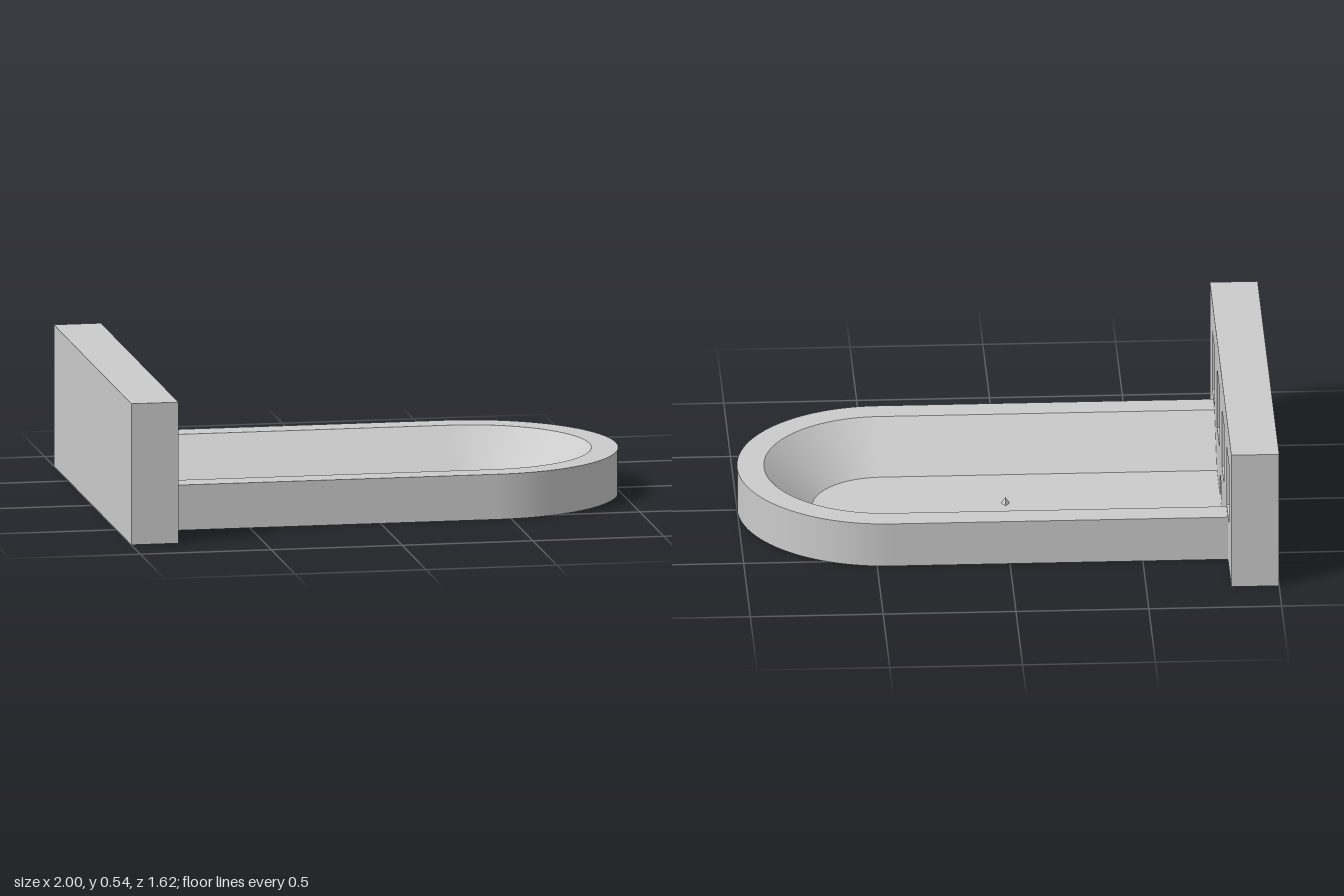
import * as THREE from 'three';

const WALL_X = -0.82, WALL_H = 0.54, WALL_Z = 0.81;  // headwall front plane, height, half length
const ARC_X = 0.447, FLOOR_Y = 0.004;                // centre of the rounded end, basin floor level
const SEGMENTS = 64;
const DOOR = { half: 0.047, top: 0.09, depth: 0.1 };
const WINDOW = { half: 0.09, bottom: 0.18, top: 0.42, depth: 0.015 };
const WINDOW_CENTRES = [-0.54, -0.18, 0.18, 0.54];

const solid = new THREE.MeshStandardMaterial({ color: 0xcccccc });
const thin = new THREE.MeshStandardMaterial({ color: 0xcccccc, side: THREE.DoubleSide });

function add(parent, name, geometry, material = solid) {
  const mesh = new THREE.Mesh(geometry, material);
  mesh.name = name;
  parent.add(mesh);
  return mesh;
}

// U-shaped path: straight side, half circle, straight side
function uPath(r) {
  const points = [[WALL_X, r, Math.PI / 2]];
  for (let i = 0; i <= SEGMENTS; i++) {
    const a = Math.PI / 2 - (Math.PI * i) / SEGMENTS;
    points.push([ARC_X + r * Math.cos(a), r * Math.sin(a), a]);
  }
  points.push([WALL_X, -r, -Math.PI / 2]);
  return points;
}

// Surface between two (radius, height) levels following the U path
function uStrip([r0, y0], [r1, y1]) {
  const positions = [], normals = [], index = [];
  const length = Math.hypot(r1 - r0, y1 - y0);
  const nr = (y1 - y0) / length, ny = (r0 - r1) / length;
  const lower = uPath(r0), upper = uPath(r1);
  lower.forEach(([x, z, a], i) => {
    positions.push(x, y0, z, upper[i][0], y1, upper[i][1]);
    for (let k = 0; k < 2; k++) normals.push(nr * Math.cos(a), ny, nr * Math.sin(a));
    if (i < lower.length - 1) {
      const b = i * 2;
      index.push(b, b + 2, b + 1, b + 1, b + 2, b + 3);
    }
  });
  const g = new THREE.BufferGeometry();
  g.setAttribute('position', new THREE.Float32BufferAttribute(positions, 3));
  g.setAttribute('normal', new THREE.Float32BufferAttribute(normals, 3));
  g.setIndex(index);
  return g;
}

// Box with some faces left out (0..5 = +x, -x, +y, -y, +z, -z)
function openBox(w, h, d, skipped) {
  const g = new THREE.BoxGeometry(w, h, d);
  const kept = Array.from(g.index.array).filter((_, i) => !skipped.includes(Math.floor(i / 6)));
  g.setIndex(kept);
  g.clearGroups();
  return g;
}

const polygon = (pts) => new THREE.Shape(pts.map(([x, y]) => new THREE.Vector2(x, y)));

function createBasin() {
  const basin = new THREE.Group();
  basin.name = 'basin';
  const profile = [[0.553, 0], [0.553, 0.173], [0.452, 0.173], [0.27, FLOOR_Y]];
  ['outerSide', 'rim', 'innerSlope'].forEach((name, i) =>
    add(basin, name, uStrip(profile[i], profile[i + 1])));

  const floor = new THREE.ShapeGeometry(polygon(uPath(0.27)));
  add(basin, 'floor', floor.rotateX(-Math.PI / 2).translate(0, FLOOR_Y, 0));

  // Tiny kite-shaped stud in the middle of the floor
  const stud = new THREE.ConeGeometry(0.016, 0.025, 4).toNonIndexed();
  stud.computeVertexNormals();
  const mesh = add(basin, 'floorStud', stud);
  mesh.scale.z = 1.6;
  mesh.position.set(-0.01, FLOOR_Y + 0.0125, 0.005);
  return basin;
}

function createHeadwall() {
  const wall = new THREE.Group();
  wall.name = 'headwall';
  const thickness = WALL_X + 1;

  // Sides, back and top
  const shell = add(wall, 'wallShell', openBox(thickness, WALL_H, WALL_Z * 2, [0, 3]));
  shell.position.set(-1 + thickness / 2, WALL_H / 2, 0);

  // Front face with window holes and a doorway notch
  const { half, top } = DOOR;
  const face = polygon([[-WALL_Z, 0], [-half, 0], [-half, top], [half, top], [half, 0],
    [WALL_Z, 0], [WALL_Z, WALL_H], [-WALL_Z, WALL_H]]);
  for (const c of WINDOW_CENTRES) {
    const l = c - WINDOW.half, r = c + WINDOW.half;
    face.holes.push(polygon([[l, WINDOW.bottom], [l, WINDOW.top], [r, WINDOW.top], [r, WINDOW.bottom]]));
  }
  add(wall, 'wallFront', new THREE.ShapeGeometry(face).rotateY(Math.PI / 2).translate(WALL_X, 0, 0));

  // Recesses behind the openings
  const recess = (name, z, halfWidth, bottom, upper, depth) => {
    const mesh = add(wall, name, openBox(depth, upper - bottom, halfWidth * 2, [0]), thin);
    mesh.position.set(WALL_X - depth / 2, (bottom + upper) / 2, z);
  };
  for (const c of WINDOW_CENTRES)
    recess('windowRecess', c, WINDOW.half, WINDOW.bottom, WINDOW.top, WINDOW.depth);
  recess('doorRecess', 0, half, FLOOR_Y, top, DOOR.depth);
  return wall;
}

export function createModel() {
  const model = new THREE.Group();
  model.name = 'basinWithHeadwall';
  model.add(createBasin(), createHeadwall());

  // One continuous underside for basin and headwall
  const outline = polygon([[WALL_X, WALL_Z], ...uPath(0.553), [WALL_X, -WALL_Z], [-1, -WALL_Z], [-1, WALL_Z]]);
  add(model, 'underside', new THREE.ShapeGeometry(outline).rotateX(Math.PI / 2));
  return model;
}
